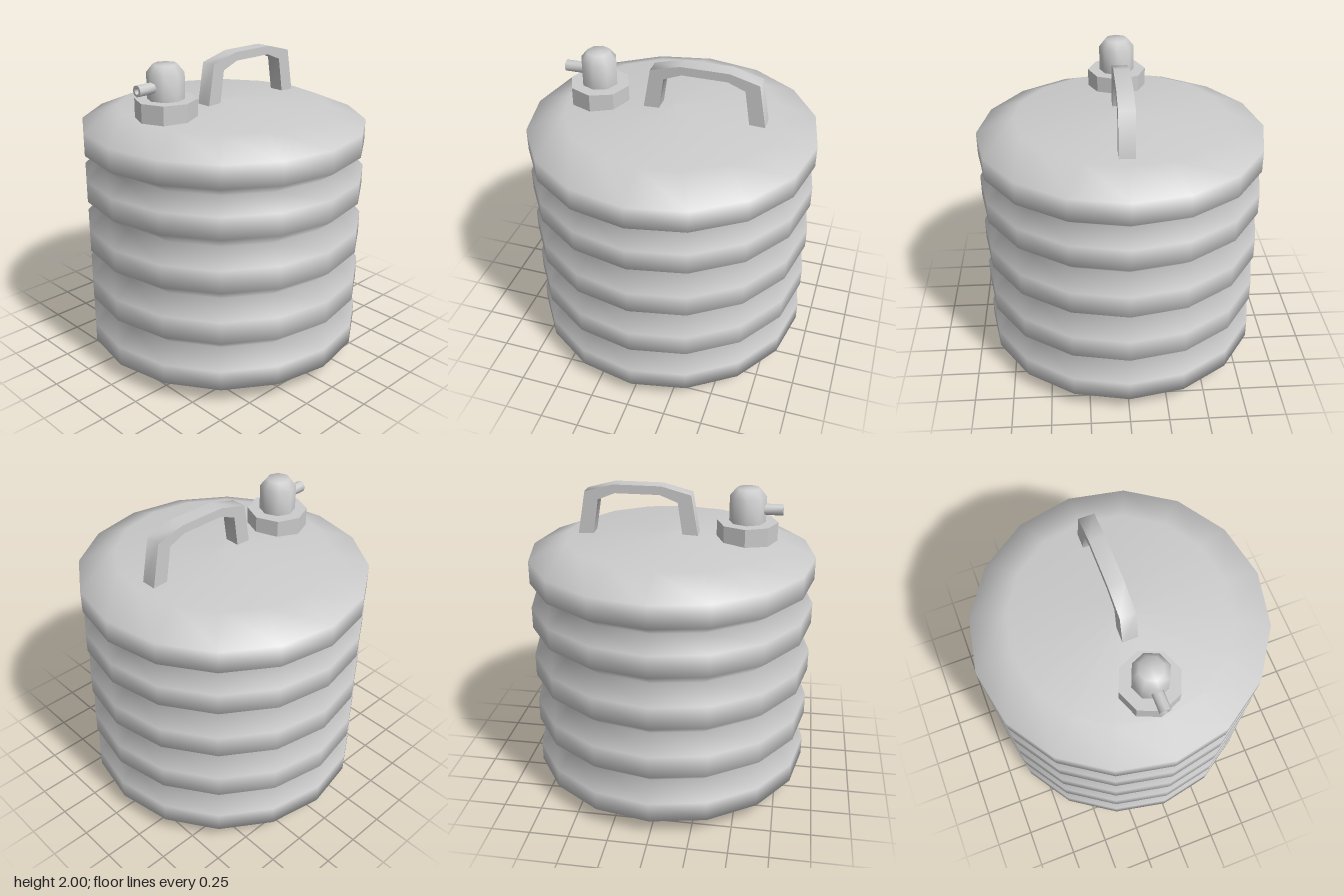
import * as THREE from 'three';
import { toCreasedNormals } from 'three/addons/utils/BufferGeometryUtils.js';

const material = new THREE.MeshStandardMaterial({ color: 0xcccccc });
const points = (list) => list.map(([x, y]) => new THREE.Vector2(x, y));

function part(name, geometry) {
  const mesh = new THREE.Mesh(geometry, material);
  mesh.name = name;
  return mesh;
}

const lathe = (profile, sides) => new THREE.LatheGeometry(points(profile), sides);

export function createModel() {
  const model = new THREE.Group();
  model.name = 'collapsibleCanister';

  // Bellows body: five ribs parted by four valleys
  const ribs = [[0.115, 0.245], [0.44, 0.585], [0.78, 0.925], [1.12, 1.26], [1.425, 1.57]];
  const profile = [[0, 0], [0.7, 0]];
  ribs.forEach(([low, high], i) => {
    profile.push([0.92, low], [0.92, high]);
    if (i < ribs.length - 1) profile.push([0.805, (high + ribs[i + 1][0]) / 2 + 0.005]);
  });
  profile.push([0.68, 1.67], [0, 1.7]);
  model.add(part('bellowsBody', lathe(profile, 16)));

  // Cap: octagonal collar, domed knob and a hollow spout
  const cap = new THREE.Group();
  cap.name = 'cap';
  cap.position.z = 0.48;
  const collar = lathe([[0, 1.66], [0.192, 1.66], [0.192, 1.79], [0, 1.79]], 8);
  cap.add(part('capCollar', toCreasedNormals(collar, 0.6)));
  const knob = lathe([[0.115, 1.78], [0.115, 1.95], [0.075, 2], [0, 2]], 8);
  cap.add(part('capKnob', toCreasedNormals(knob, 1)));
  const spout = lathe([[0.036, 0], [0.036, 0.14], [0.02, 0.14], [0.02, 0.06], [0, 0.06]], 8);
  spout.rotateX(Math.PI / 2);
  const spoutMesh = part('spout', toCreasedNormals(spout, 1));
  spoutMesh.position.set(0, 1.87, 0.08);
  cap.add(spoutMesh);
  model.add(cap);

  // Carrying handle: side outline in z and y, extruded across x
  const outline = new THREE.Shape(points([
    [0.18, 1.66], [0.13, 1.95], [-0.06, 2], [-0.365, 2], [-0.55, 1.95], [-0.602, 1.66],
    [-0.503, 1.66], [-0.465, 1.9], [-0.355, 1.945], [-0.07, 1.945], [0.045, 1.9], [0.08, 1.66],
  ]));
  const handle = new THREE.ExtrudeGeometry(outline, { depth: 0.1, bevelEnabled: false });
  handle.translate(0, 0, -0.05).rotateY(-Math.PI / 2);
  model.add(part('handle', toCreasedNormals(handle, 1.2)));

  return model;
}
